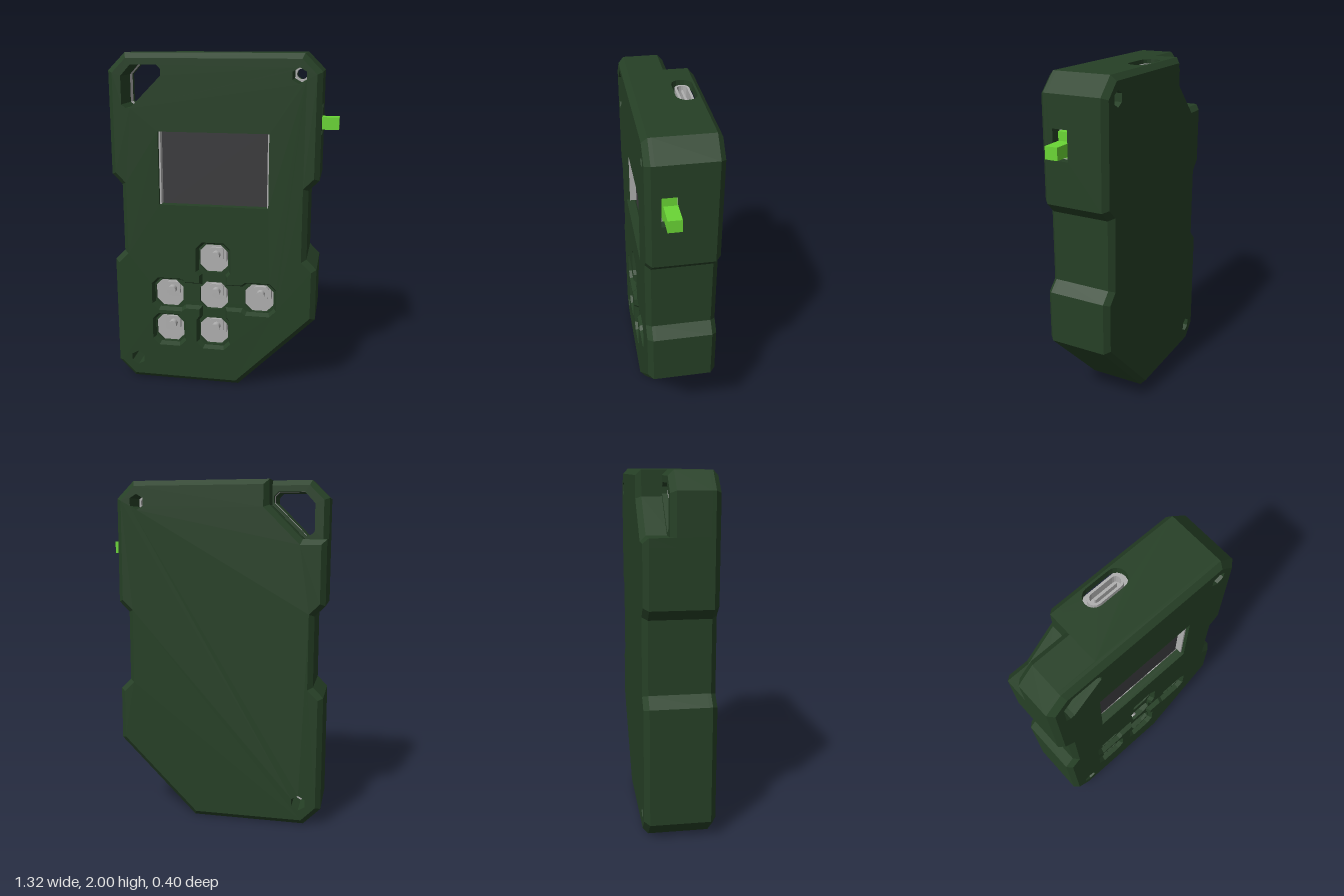
import * as THREE from 'three';
import { mergeGeometries } from 'three/addons/utils/BufferGeometryUtils.js';

const paint = (name, color) => {
  const m = new THREE.MeshStandardMaterial({ color });
  m.name = name;
  return m;
};
const V = (x, y) => new THREE.Vector2(x, y);
const pts = (list) => list.map(([x, y]) => V(x, y));

// Outline helpers: all polygons run counter-clockwise
const rect = (x0, y0, x1, y1) => pts([[x0, y0], [x1, y0], [x1, y1], [x0, y1]]);
const octagon = (x, y, h, c) => pts([
  [x - h + c, y - h], [x + h - c, y - h], [x + h, y - h + c], [x + h, y + h - c],
  [x + h - c, y + h], [x - h + c, y + h], [x - h, y + h - c], [x - h, y - h + c]]);
const ngon = (x, y, r, n) => Array.from({ length: n }, (_, i) => {
  const a = Math.PI / 2 + (i / n) * Math.PI * 2;
  return V(x + r * Math.cos(a), y + r * Math.sin(a));
});
const stadium = (x, y, half, r) => Array.from({ length: 18 }, (_, i) => {
  const a = -Math.PI / 2 + ((i % 9) / 8) * Math.PI + (i < 9 ? 0 : Math.PI);
  return V(x + (i < 9 ? 1 : -1) * (half - r) + r * Math.cos(a), y + r * Math.sin(a));
});
// Move every edge inward by d
const inset = (poly, d) => poly.map((p, i) => {
  const a = poly[(i + poly.length - 1) % poly.length], b = poly[(i + 1) % poly.length];
  const d1 = p.clone().sub(a).normalize(), d2 = b.clone().sub(p).normalize();
  const n1 = V(d1.y, -d1.x), n2 = V(d2.y, -d2.x);
  return p.clone().sub(n1.clone().add(n2).multiplyScalar(d / (1 + n1.dot(n2))));
});
const shapeOf = (poly, holes = []) => {
  const s = new THREE.Shape(poly);
  s.holes = holes.map((h) => new THREE.Path(h));
  return s;
};
const prism = (poly, holes, z0, z1) =>
  new THREE.ExtrudeGeometry(shapeOf(poly, holes), { depth: z1 - z0, bevelEnabled: false }).translate(0, 0, z0);

// Band of quads between two matching outlines
function band(a, za, b, zb) {
  const out = [];
  a.forEach((p, i) => {
    const j = (i + 1) % a.length, q = a[j], r = b[j], s = b[i];
    out.push(p.x, p.y, za, q.x, q.y, za, r.x, r.y, zb, p.x, p.y, za, r.x, r.y, zb, s.x, s.y, zb);
  });
  const g = new THREE.BufferGeometry();
  g.setAttribute('position', new THREE.Float32BufferAttribute(out, 3));
  return g;
}
// Cover with a chamfered rim; holes are [outline, chamfer] pairs
function cover(poly, zFull, zCap, ch, holes) {
  const up = zCap > zFull;
  const ring = (full, cap) => (up ? band(full, zFull, cap, zCap) : band(cap, zCap, full, zFull));
  const top = inset(poly, ch);
  const cap = new THREE.ShapeGeometry(shapeOf(top, holes.map((h) => h[0])));
  if (!up) cap.index.array.reverse();
  const flat = cap.toNonIndexed().translate(0, 0, zCap);
  flat.deleteAttribute('normal');
  flat.deleteAttribute('uv');
  const parts = [flat, ring(poly, top)];
  for (const [h, c] of holes) parts.push(ring(inset(h, c).reverse(), [...h].reverse()));
  const g = mergeGeometries(parts);
  g.computeVertexNormals();
  return g;
}
// Upright wall panel along one outline edge; holes use (distance along edge, z)
function panel(a, b, z0, z1, holes = []) {
  const t = 0.05, d = b.clone().sub(a), len = d.length();
  d.normalize();
  const m = new THREE.Matrix4().makeBasis(
    new THREE.Vector3(d.x, d.y, 0), new THREE.Vector3(0, 0, 1), new THREE.Vector3(d.y, -d.x, 0));
  m.setPosition(a.x - d.y * t, a.y + d.x * t, 0);
  return prism(rect(0, z0, len, z1), holes, 0, t).applyMatrix4(m);
}

export function createModel() {
  const model = new THREE.Group();
  const green = paint('dark green', 0x264026);
  const grey = paint('light grey', 0xb0b0b0);
  const black = paint('screen charcoal', 0x3b3b3d);
  const lime = paint('lime', 0x6ad635);
  const add = (name, geometry, material) => {
    const m = new THREE.Mesh(geometry, material);
    m.name = name;
    model.add(m);
    return m;
  };
  const box = (name, x0, x1, y0, y1, z0, z1, mat) => add(name,
    new THREE.BoxGeometry(x1 - x0, y1 - y0, z1 - z0).translate((x0 + x1) / 2, (y0 + y1) / 2, (z0 + z1) / 2), mat);

  // Outlines: common sides, full top-left corner, and notched corner for the back
  const sides = [[-0.66, 0.10], [-0.56, 0], [0.10, 0], [0.56, 0.46], [0.56, 0.77], [0.50, 0.83], [0.50, 1.24],
    [0.56, 1.30], [0.56, 1.90], [0.46, 2]];
  const waist = [[-0.66, 1.30], [-0.60, 1.24], [-0.60, 0.83], [-0.66, 0.77]];
  const corner = [[-0.56, 2], [-0.66, 1.90]];
  const notch = [[-0.335, 2], [-0.335, 1.86], [-0.525, 1.67], [-0.66, 1.67]];
  const outline = pts([...sides, ...corner, ...waist]);
  const backOutline = pts([...sides, ...notch, ...waist]);

  // Openings
  const strap = pts([[-0.58, 1.71], [-0.555, 1.69], [-0.53, 1.69], [-0.345, 1.875], [-0.345, 1.91],
    [-0.37, 1.935], [-0.52, 1.935], [-0.58, 1.87]]);
  const screws = [[0.435, 1.88], [-0.53, 0.135]];
  const hexes = screws.map(([x, y]) => ngon(x, y, 0.045, 6));
  const screen = rect(-0.37, 1.13, 0.275, 1.56);
  const cx = -0.05, cy = 0.57;
  const buttons = [[cx, cy], [cx, 0.805], [cx, 0.34], [-0.325, cy], [0.225, cy], [-0.325, 0.34]];

  // Cross-shaped recess joining five buttons
  const cross = [];
  const h = 0.105, w = 0.085, c = 0.04;
  for (let k = 0; k < 4; k++) {
    const L = k % 2 ? 0.235 : 0.275, ca = Math.round(Math.cos(k * Math.PI / 2)), sa = Math.round(Math.sin(k * Math.PI / 2));
    for (const [u, v] of [[w, -w], [L - h, -w], [L - h + 0.025, -h], [L + h - c, -h], [L + h, c - h],
      [L + h, h - c], [L + h - c, h], [L - h + 0.025, h], [L - h, w]]) {
      cross.push(V(cx + u * ca - v * sa, cy + u * sa + v * ca));
    }
  }

  // Front lid: chamfered face over a thin plate with button holes
  const straight = [screen, strap, ...hexes];
  add('frontCover', cover(outline, 0.17, 0.2, 0.03, [...straight.map((p) => [p, 0]),
    [cross, 0.015], [octagon(-0.325, 0.34, h, c), 0.015]]), green);
  add('frontPlate', prism(outline, [...straight, ...buttons.map(([x, y]) => octagon(x, y, 0.086, 0.042))], 0.15, 0.17), green);

  // Back cover
  add('backCover', cover(backOutline, -0.17, -0.2, 0.03, hexes.map((p) => [p, 0])), green);

  // Side walls, with openings for the port and the slide switch
  const walls = [];
  backOutline.forEach((a, i) => {
    const b = backOutline[(i + 1) % backOutline.length];
    const inNotch = i >= sides.length && i < sides.length + 3;
    const holes = [];
    if (i === 7) holes.push(rect(0.25, 0.03, 0.42, 0.12));
    if (i === 9) holes.push(stadium(0.51, -0.1, 0.13, 0.058));
    walls.push(panel(a, b, -0.17, inNotch ? -0.03 : 0.15, holes));
  });
  const rim = pts([notch[0], ...corner, notch[3]]);
  for (let i = 0; i < 3; i++) walls.push(panel(rim[i], rim[i + 1], -0.03, 0.15));
  add('sideWalls', mergeGeometries(walls), green);

  // Strap corner floor and hole lining
  const floor = pts([[-0.305, 2], ...corner, [-0.66, 1.64], [-0.515, 1.64], [-0.305, 1.85]]);
  add('strapFloor', cover(floor, -0.03, -0.06, 0.03, [[strap, 0]]), green);
  add('strapLining', prism(inset(strap, -0.025), [strap], 0.02, 0.15), green);

  // Screw sleeves
  hexes.forEach((p) => {
    add('screwSleeveFront', prism(inset(p, -0.012), [p], 0.02, 0.15), green);
    add('screwSleeveBack', prism(inset(p, -0.012), [p], -0.17, -0.03), green);
  });

  // Circuit board
  add('circuitBoard', prism(inset(outline, 0.045),
    [strap, ...screws.map(([x, y]) => ngon(x, y, 0.03, 20))], -0.03, 0.02), grey);

  // Display
  box('displayModule', -0.375, 0.28, 1.11, 1.58, 0.02, 0.1, grey);
  box('screen', -0.36, 0.265, 1.11, 1.58, 0.1, 0.14, black);
  for (const x of [-0.37, 0.265]) box('screenEdge', x, x + 0.01, 1.13, 1.56, 0.1, 0.18, grey);

  // Push buttons
  for (const [x, y] of buttons) {
    add('buttonBase', prism(octagon(x, y, 0.06, 0.012), [], 0.02, 0.07), grey);
    add('buttonTop', prism(octagon(x, y, 0.043, 0.012), [], 0.07, 0.09), grey);
    add('buttonStem', new THREE.CylinderGeometry(0.025, 0.025, 0.04, 20).rotateX(Math.PI / 2).translate(x, y, 0.11), grey);
  }

  // Slide switch
  box('switchBody', 0.36, 0.48, 1.53, 1.74, 0.02, 0.13, grey);
  box('switchSlide', 0.48, 0.525, 1.56, 1.70, 0.034, 0.108, lime);
  box('switchKnob', 0.52, 0.655, 1.58, 1.65, 0.03, 0.105, lime);

  // Charging port: shell, tongue and backing plate
  const shell = prism(stadium(0, 0, 0.108, 0.04), [stadium(0, 0, 0.094, 0.027)], 0, 0.07);
  add('portShell', shell.rotateX(-Math.PI / 2).translate(cx, 1.91, -0.1), grey);
  box('portTongue', cx - 0.07, cx + 0.07, 1.91, 1.965, -0.106, -0.094, grey);
  box('portBacking', cx - 0.14, cx + 0.14, 1.87, 1.92, -0.165, -0.035, grey);

  return model;
}
